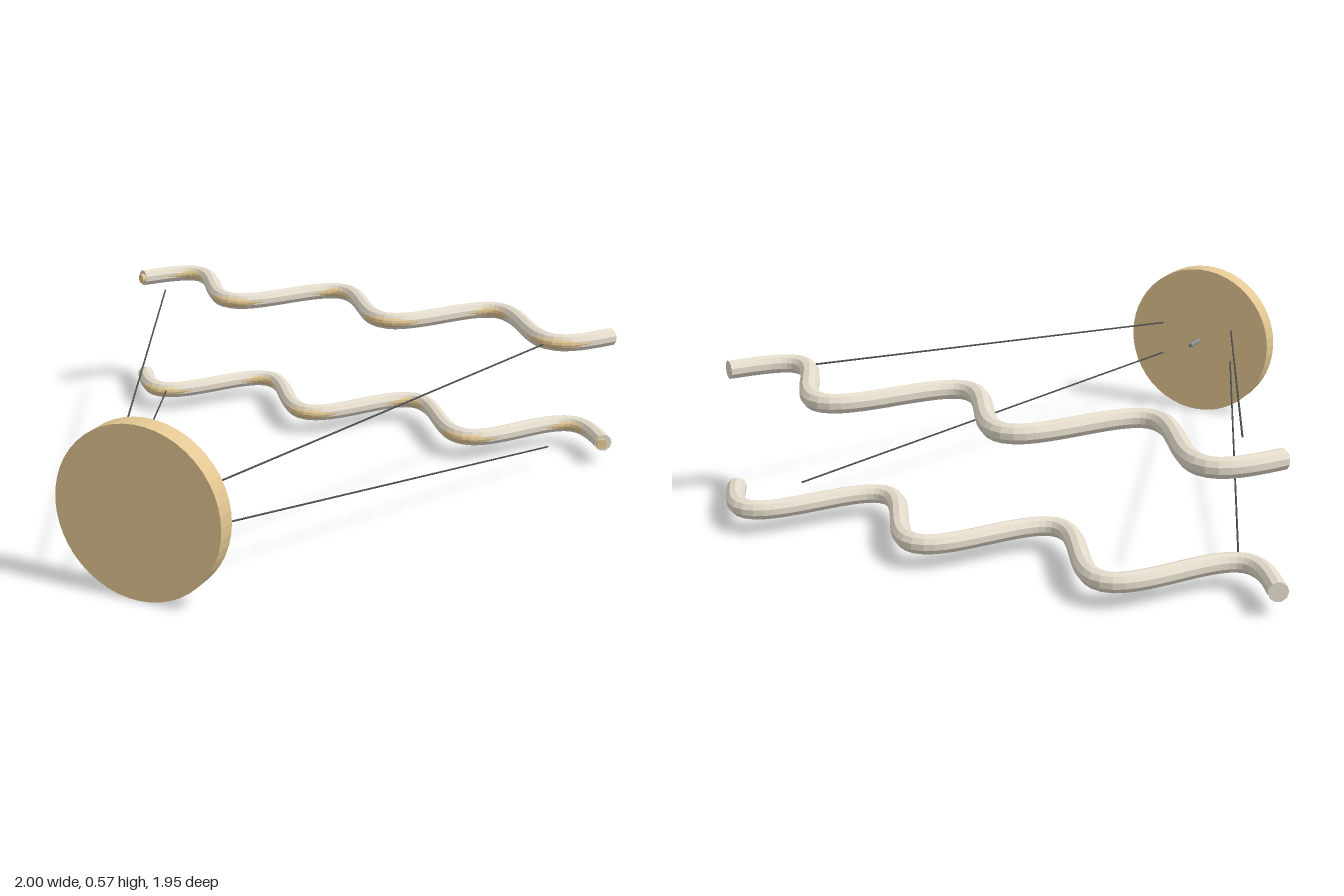
import * as THREE from 'three';

const silver = new THREE.MeshStandardMaterial({ color: 0xe4dccb, flatShading: true });
silver.name = 'warm silver';
const tan = new THREE.MeshStandardMaterial({ color: 0xe3c793, flatShading: true });
tan.name = 'tan';
const grey = new THREE.MeshStandardMaterial({ color: 0x8c9096 });
grey.name = 'pin grey';
const dark = new THREE.MeshStandardMaterial({ color: 0x4c4c4f });
dark.name = 'dark wire';

const HALF = 0.975, MID_Y = 0.2875, RAIL_DY = 0.206;

// Three full sine waves in a level plane
class Wave extends THREE.Curve {
  constructor(y, z, amplitude) {
    super();
    Object.assign(this, { y, z, amplitude });
  }
  getPoint(t, target = new THREE.Vector3()) {
    return target.set((2 * t - 1) * HALF, this.y, this.z + this.amplitude * Math.sin(t * 6 * Math.PI));
  }
}

function add(parent, name, geometry, material) {
  const mesh = new THREE.Mesh(geometry, material);
  mesh.name = name;
  parent.add(mesh);
  return mesh;
}

// Tube along a curve, closed with a disc at each end
function cappedTube(parent, name, curve, radius, sides, material) {
  const group = new THREE.Group();
  group.name = name;
  parent.add(group);
  add(group, name + 'Wall', new THREE.TubeGeometry(curve, 96, radius, sides), material);
  for (const t of [0, 1]) {
    const cap = add(group, name + 'Cap', new THREE.CircleGeometry(radius, sides), material);
    const outward = curve.getTangentAt(t).multiplyScalar(t ? 1 : -1);
    cap.position.copy(curve.getPointAt(t));
    cap.quaternion.setFromUnitVectors(new THREE.Vector3(0, 0, 1), outward);
  }
}

// Straight round rod between two points
function rod(parent, name, a, b, radius, sides, material) {
  const dir = b.clone().sub(a);
  const mesh = add(parent, name, new THREE.CylinderGeometry(radius, radius, dir.length(), sides), material);
  mesh.position.copy(a).lerp(b, 0.5);
  mesh.quaternion.setFromUnitVectors(new THREE.Vector3(0, 1, 0), dir.normalize());
}

export function createModel() {
  const model = new THREE.Group();
  model.name = 'wavyRailsAndDisc';

  // Upper and lower wavy rails, in opposite phase, each with an inlaid core showing along the front
  for (const side of [1, -1]) {
    const y = MID_Y + side * RAIL_DY;
    const label = side > 0 ? 'upper' : 'lower';
    cappedTube(model, label + 'Rail', new Wave(y, -0.788, -side * 0.156), 0.032, 10, silver);
    cappedTube(model, label + 'Core', new Wave(y, -0.7695, -side * 0.156), 0.019, 12, tan);

    // Wires from behind the disc out to the rails
    for (const s of [-1, 1]) {
      rod(model, label + (s > 0 ? 'LeftWire' : 'RightWire'),
        new THREE.Vector3(s * 0.145, MID_Y + side * 0.062, 0.88),
        new THREE.Vector3(s * 0.8, y, -0.66), 0.003, 18, dark);
    }
  }

  // Front disc and the pin at its back
  rod(model, 'disc', new THREE.Vector3(0, MID_Y, 0.905), new THREE.Vector3(0, MID_Y, 0.975), 0.2875, 48, tan);
  rod(model, 'pin', new THREE.Vector3(0, MID_Y, 0.82), new THREE.Vector3(0, MID_Y, 0.91), 0.008, 12, grey);

  return model;
}
